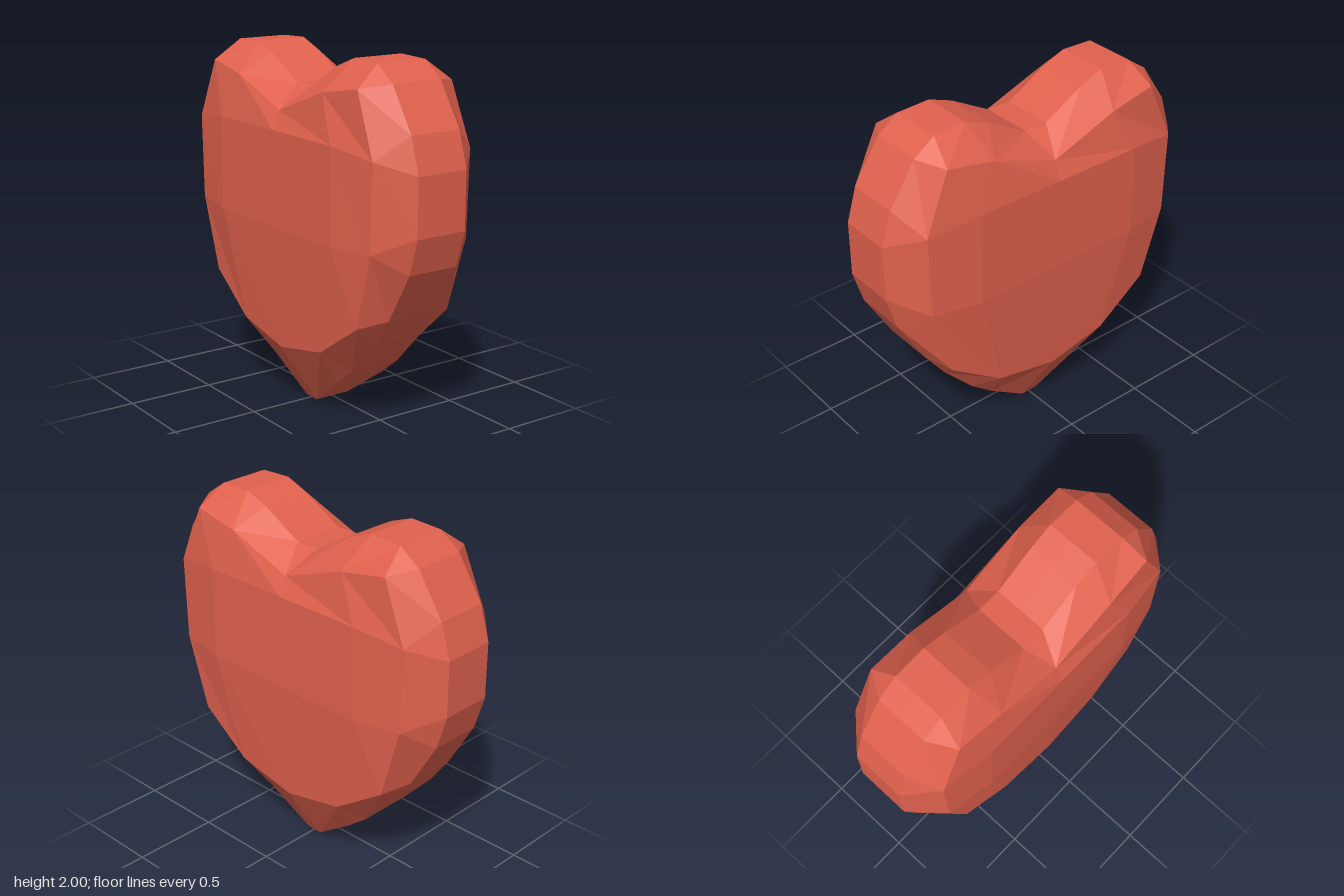
import * as THREE from 'three';

// One quarter (x >= 0, z >= 0) of the heart, listed clockwise from the top notch to the tip.
// Inner loop: edge of the front face. Each inner point owns a pair of rim points.
const INNER = [
  [0, 1.685, 0.315], [0.40, 1.83, 0.315], [0.685, 1.88, 0.303], [0.83, 1.54, 0.315],
  [0.815, 1.06, 0.315], [0.69, 0.635, 0.303], [0.375, 0.42, 0.312], [0, 0.345, 0.315],
];
const RIM = [
  [0, 1.81], [0.07, 1.81], [0.31, 1.945], [0.455, 2.0], [0.65, 1.993], [0.775, 1.905],
  [0.93, 1.67], [0.99, 1.475], [0.99, 1.155], [0.93, 0.955], [0.765, 0.67], [0.64, 0.5],
  [0.45, 0.30], [0.31, 0.19], [0.05, 0], [0, 0],
].map(([x, y]) => [x, y, y === 0 ? 0.11 : 0.153]);

// Flat raised plate in the middle of the face
const [P0, P1, P2, P3] = [[0, 1.58, 0.36], [0.53, 1.58, 0.36], [0.53, 1.045, 0.36], [0, 1.045, 0.36]];

// Collects polygons and mirrors each into all four quarters
function mirroredGeometry(polygons) {
  const positions = [];
  for (const sx of [1, -1]) for (const sz of [1, -1]) {
    for (const poly of polygons) {
      const pts = poly.map(([x, y, z]) => [x * sx, y, z * sz]);
      if (sx * sz < 0) pts.reverse();
      for (let i = 1; i < pts.length - 1; i++) positions.push(...pts[0], ...pts[i], ...pts[i + 1]);
    }
  }
  const g = new THREE.BufferGeometry();
  g.setAttribute('position', new THREE.Float32BufferAttribute(positions, 3));
  g.computeVertexNormals();
  return g;
}

export function createModel() {
  const group = new THREE.Group();
  group.name = 'heart';
  const material = new THREE.MeshStandardMaterial({ color: 0xe0614d, flatShading: true });
  const add = (name, polygons) => {
    const mesh = new THREE.Mesh(mirroredGeometry(polygons), material);
    mesh.name = name;
    group.add(mesh);
  };

  // Gently domed front and back faces
  const I = INNER;
  add('faces', [
    [P0, P3, P2, P1],
    [I[0], P0, P1, I[1]],
    [I[1], P1, I[3], I[2]],
    [P1, P2, I[4], I[3]],
    [P2, I[6], I[5], I[4]],
    [P3, I[7], I[6], P2],
  ]);

  // Bevel: a triangle at every inner point, a quad along every inner edge
  const bevel = [];
  I.forEach((p, i) => {
    bevel.push([p, RIM[2 * i + 1], RIM[2 * i]]);
    if (i < I.length - 1) bevel.push([p, I[i + 1], RIM[2 * i + 2], RIM[2 * i + 1]]);
  });
  add('bevels', bevel);

  // Outer band running round the heart
  const mid = ([x, y]) => [x, y, 0];
  add('rim', RIM.slice(1).map((q, i) => [RIM[i], q, mid(q), mid(RIM[i])]));

  return group;
}
